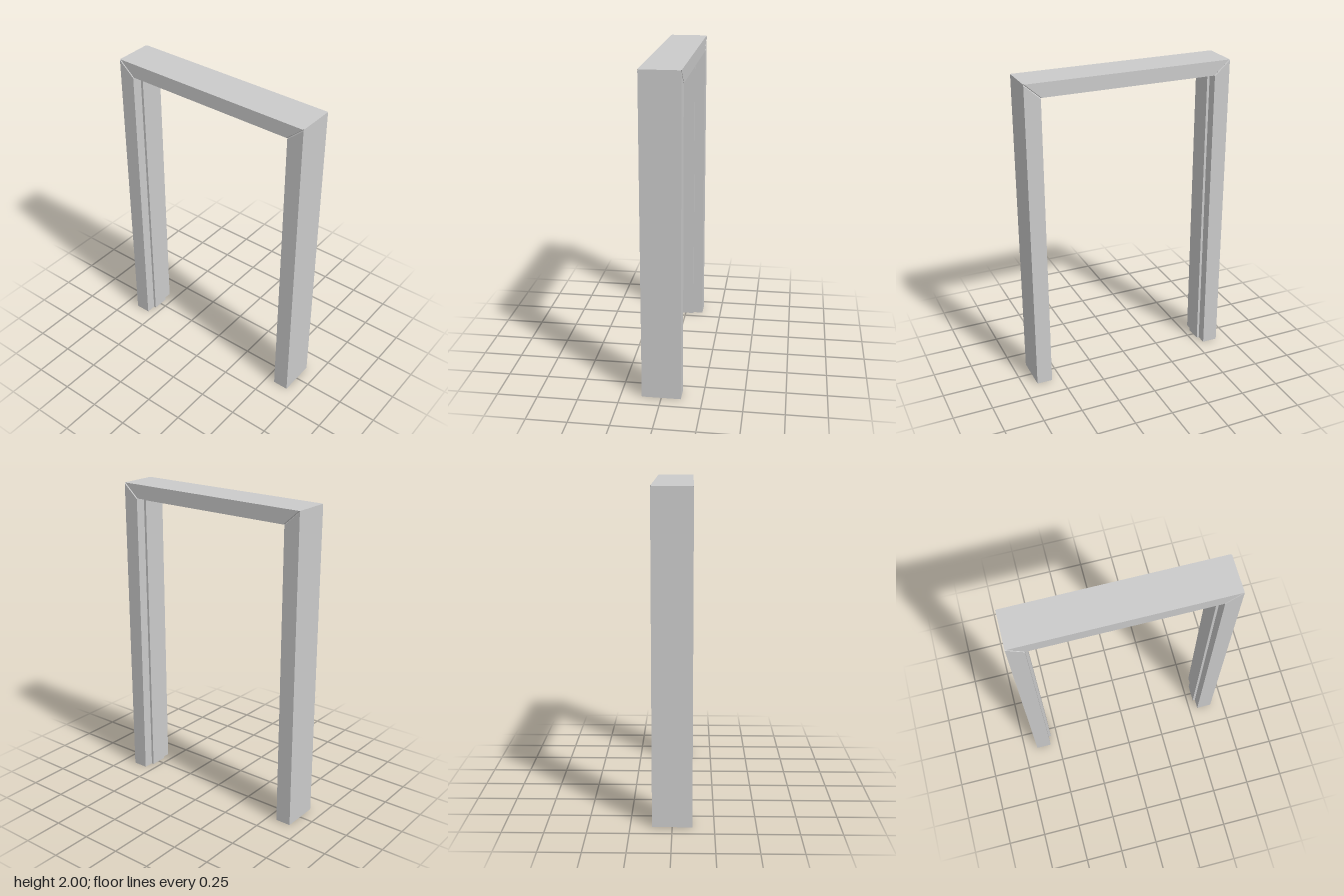
import * as THREE from 'three';

// Mitre corner at three depths: outer face, inner face, door stop
const MITRE_Z = [0.66, 0.56, 0.544];
const MITRE_Y = [2.0, 1.911, 1.89];
const HALF_WIDTH = 0.12;
const GROOVE = 0.006; // small chamfer along the mitre joints

// Cross-section stations: x and depth level of the inner side
const EDGE = HALF_WIDTH - GROOVE;
const STOP = 0.055;
const STATIONS = [
  [-HALF_WIDTH, 1], [-EDGE, 1], [-STOP, 1], [-STOP, 2],
  [STOP, 2], [STOP, 1], [EDGE, 1], [HALF_WIDTH, 1],
];

const groove = (x) => (Math.abs(x) > EDGE + 1e-6 ? GROOVE : 0);

// Closed bar with the frame profile; point(x, level, end) places each corner
function frameBar(point) {
  const pos = [];
  const quad = (a, b, c, d) => pos.push(...a, ...b, ...c, ...a, ...c, ...d);
  for (let i = 0; i < STATIONS.length - 1; i++) {
    const [x0, l0] = STATIONS[i];
    const [x1, l1] = STATIONS[i + 1];
    // inner side, including the walls of the stop
    quad(point(x1, l1, 0), point(x0, l0, 0), point(x0, l0, 1), point(x1, l1, 1));
    if (x0 === x1) continue;
    // outer side and both ends
    quad(point(x0, 0, 0), point(x1, 0, 0), point(x1, 0, 1), point(x0, 0, 1));
    quad(point(x0, l0, 1), point(x0, 0, 1), point(x1, 0, 1), point(x1, l1, 1));
    quad(point(x1, l1, 0), point(x1, 0, 0), point(x0, 0, 0), point(x0, l0, 0));
  }
  // flat side faces
  const w = HALF_WIDTH;
  quad(point(w, 1, 0), point(w, 1, 1), point(w, 0, 1), point(w, 0, 0));
  quad(point(-w, 0, 0), point(-w, 0, 1), point(-w, 1, 1), point(-w, 1, 0));

  const geometry = new THREE.BufferGeometry();
  geometry.setAttribute('position', new THREE.Float32BufferAttribute(pos, 3));
  geometry.computeVertexNormals();
  return geometry;
}

export function createModel() {
  const group = new THREE.Group();
  group.name = 'doorFrame';
  const material = new THREE.MeshStandardMaterial({ color: 0xcccccc, flatShading: true });

  // Upright jambs, the back one turned round to face the front one
  const jamb = frameBar((x, level, end) =>
    [x, end ? MITRE_Y[level] - groove(x) : 0, MITRE_Z[level]]);
  ['frontJamb', 'backJamb'].forEach((name, i) => {
    const mesh = new THREE.Mesh(jamb, material);
    mesh.name = name;
    mesh.rotation.y = i * Math.PI;
    group.add(mesh);
  });

  // Head piece, mitred at both ends
  const head = new THREE.Mesh(frameBar((x, level, end) =>
    [x, MITRE_Y[level], (end ? -1 : 1) * (MITRE_Z[level] - groove(x))]), material);
  head.name = 'head';
  group.add(head);

  return group;
}
